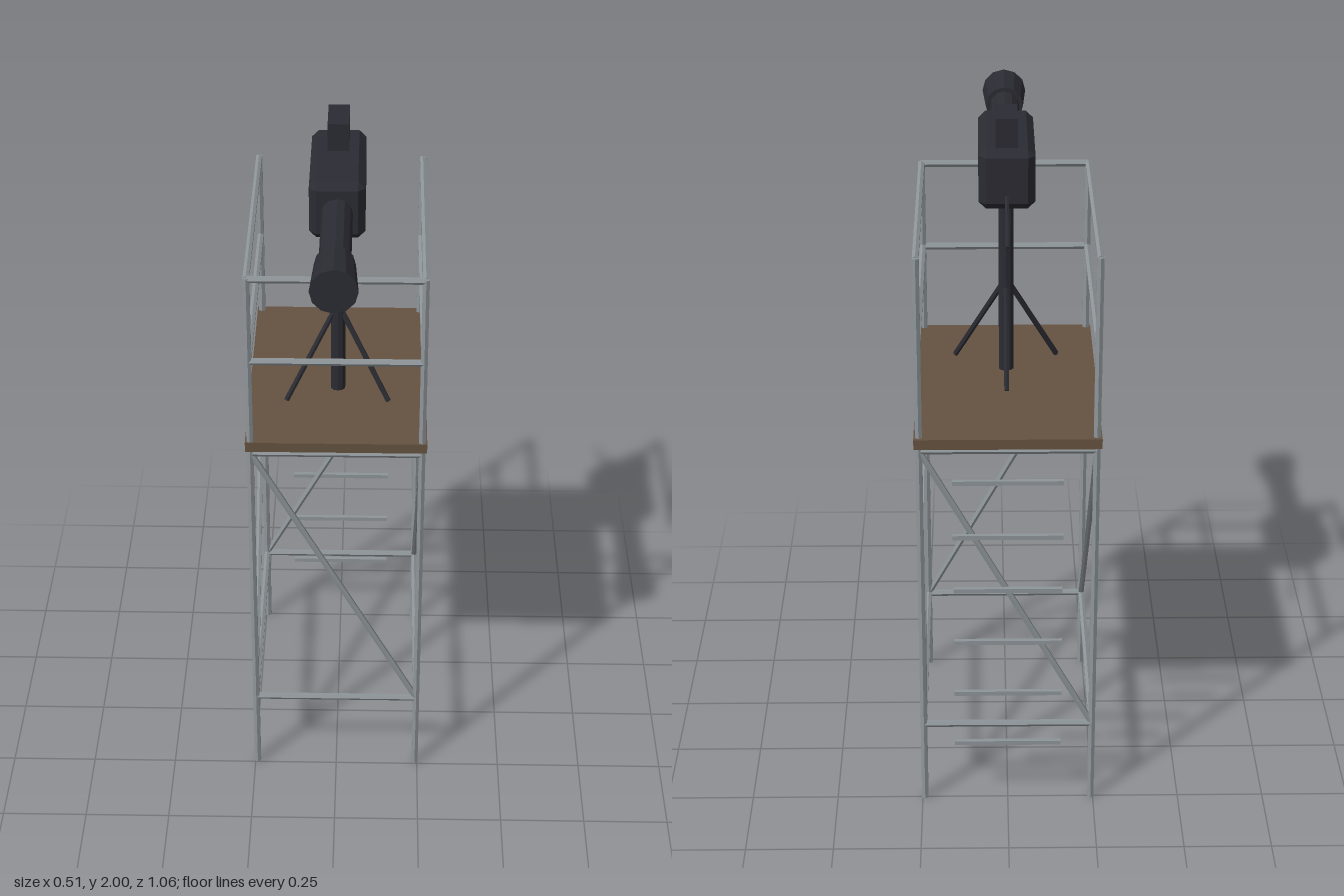
import * as THREE from 'three';
import { ConvexGeometry } from 'three/addons/geometries/ConvexGeometry.js';

export function createModel() {
  const model = new THREE.Group();
  model.name = 'lightTower';

  const material = (name, color) => {
    const m = new THREE.MeshStandardMaterial({ color, flatShading: true });
    m.name = name;
    return m;
  };
  const steel = material('steel', 0x8e9599);
  const wood = material('wood', 0x655340);
  const dark = material('darkMetal', 0x2b2b33);

  const add = (name, geometry, mat, x = 0, y = 0, z = 0) => {
    const mesh = new THREE.Mesh(geometry, mat);
    mesh.name = name;
    mesh.position.set(x, y, z);
    model.add(mesh);
    return mesh;
  };

  // Straight bar from a to b, radius ra at a and rb at b
  const bar = (name, a, b, ra, mat, sides = 6, rb = ra) => {
    const from = new THREE.Vector3(...a);
    const to = new THREE.Vector3(...b);
    const dir = to.clone().sub(from);
    const mesh = add(name, new THREE.CylinderGeometry(rb, ra, dir.length(), sides), mat);
    mesh.position.copy(from).add(to).multiplyScalar(0.5);
    mesh.quaternion.setFromUnitVectors(new THREE.Vector3(0, 1, 0), dir.normalize());
    return mesh;
  };

  // Frame corners, going round: front right, front left, back left, back right
  const X = 0.243, ZF = 0.24, ZB = -0.5;
  const corners = [[-X, ZF], [X, ZF], [X, ZB], [-X, ZB]];
  const LOW = 0.257, HIGH = 1.145;

  corners.forEach(([x, z], i) => {
    const [x2, z2] = corners[(i + 1) % 4];
    bar('post', [x, 0, z], [x, 1.71, z], 0.011, steel);
    bar('lowerFrameRail', [x, LOW, z], [x2, LOW, z2], 0.01, steel);
    bar('upperFrameRail', [x, HIGH, z], [x2, HIGH, z2], 0.01, steel);
    // One diagonal on each face
    bar('diagonalBrace', [x, HIGH, z], [x2, LOW, z2], 0.009, steel);
    // Guard rails on the front and sides, the back stays open for the ladder
    if (i !== 2) {
      for (const y of [1.447, 1.705]) bar('guardRail', [x, y, z], [x2, y, z2], 0.01, steel);
    }
  });

  // Ladder rungs at the back
  for (let i = 0; i < 6; i++) {
    add('ladderRung', new THREE.BoxGeometry(0.306, 0.013, 0.013), steel, 0, 0.21 + i * 0.17, -0.527);
  }

  // Platform
  add('deck', new THREE.BoxGeometry(0.514, 0.03, 0.77), wood, 0, 1.171, -0.133);

  // Column and tripod legs
  const ZC = -0.053;
  bar('column', [0, 1.185, ZC], [0, 1.78, ZC], 0.022, dark, 10);
  for (let i = 0; i < 3; i++) {
    const a = Math.PI / 6 + (i * Math.PI * 2) / 3;
    const c = Math.cos(a), s = Math.sin(a);
    bar('tripodLeg', [0.01 * c, 1.45, ZC + 0.01 * s], [0.17 * c, 1.192, ZC + 0.17 * s], 0.008, dark);
  }

  // Housing: box with every edge chamfered
  const half = [0.077, 0.085, 0.18], bevel = 0.02;
  const points = [];
  for (const sx of [-1, 1]) for (const sy of [-1, 1]) for (const sz of [-1, 1]) {
    for (let full = 0; full < 3; full++) {
      const p = half.map((h, k) => (k === full ? h : h - bevel));
      points.push(new THREE.Vector3(p[0] * sx, p[1] * sy, p[2] * sz));
    }
  }
  add('housing', new ConvexGeometry(points), dark, 0, 1.834, -0.082);
  add('topBox', new THREE.BoxGeometry(0.06, 0.09, 0.128), dark, 0, 1.955, -0.172);

  // Barrel, flared hood and rear steering handle
  const Y = 1.833;
  bar('barrel', [0, Y, 0.08], [0, Y, 0.39], 0.043, dark, 12);
  bar('hood', [0, Y, 0.385], [0, Y, 0.53], 0.055, dark, 12, 0.064);
  bar('handle', [0, 1.795, -0.24], [0, 1.714, -0.442], 0.006, dark);

  return model;
}
